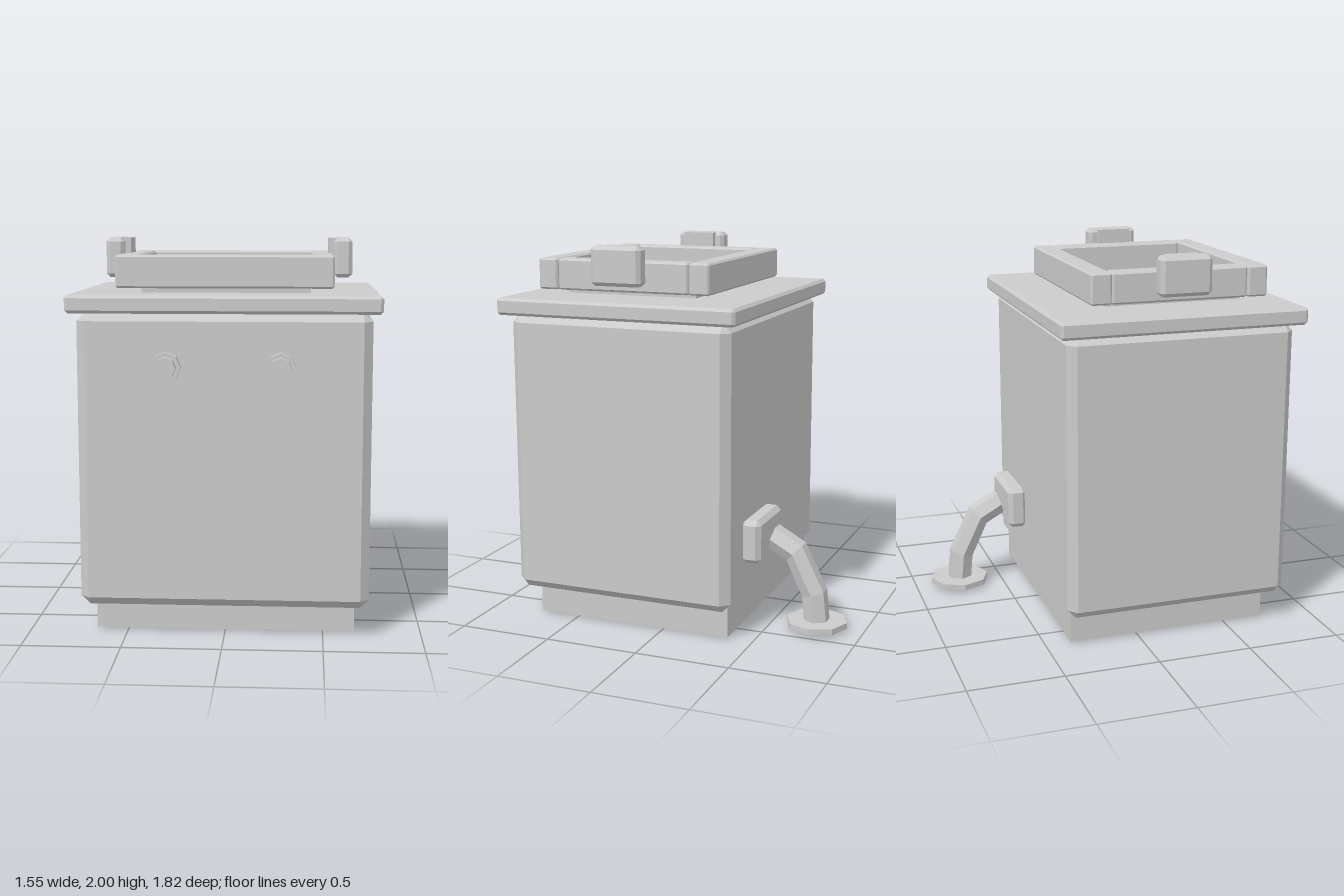
import * as THREE from 'three';
import { ConvexGeometry } from 'three/addons/geometries/ConvexGeometry.js';

const material = new THREE.MeshStandardMaterial({ color: 0xcccccc, flatShading: true });

// Box with chamfered edges, given by its min/max ranges
function chamferBox([x0, x1], [y0, y1], [z0, z1], c) {
  const a = (x1 - x0) / 2, b = (y1 - y0) / 2, d = (z1 - z0) / 2;
  const points = [];
  for (const sx of [-1, 1]) for (const sy of [-1, 1]) for (const sz of [-1, 1]) {
    points.push(
      new THREE.Vector3(sx * a, sy * (b - c), sz * (d - c)),
      new THREE.Vector3(sx * (a - c), sy * b, sz * (d - c)),
      new THREE.Vector3(sx * (a - c), sy * (b - c), sz * d));
  }
  return new ConvexGeometry(points).translate((x0 + x1) / 2, (y0 + y1) / 2, (z0 + z1) / 2);
}

function plainBox([x0, x1], [y0, y1], [z0, z1]) {
  return new THREE.BoxGeometry(x1 - x0, y1 - y0, z1 - z0)
    .translate((x0 + x1) / 2, (y0 + y1) / 2, (z0 + z1) / 2);
}

// Hexagonal bent pipe; each ring is [y, z, upY, upZ]
function hexPipe(x, radius, rings) {
  const sides = 6, positions = [], index = [];
  for (const [y, z, upY, upZ] of rings) {
    const len = Math.hypot(upY, upZ);
    for (let j = 0; j < sides; j++) {
      const t = j / sides * Math.PI * 2;
      const s = Math.sin(t) * radius / len;
      positions.push(x + Math.cos(t) * radius, y + s * upY, z + s * upZ);
    }
  }
  for (let i = 0; i < rings.length - 1; i++) {
    for (let j = 0; j < sides; j++) {
      const k = (j + 1) % sides;
      const a = i * sides + j, b = i * sides + k, c = a + sides, d = b + sides;
      index.push(a, c, b, b, c, d);
    }
  }
  const last = (rings.length - 1) * sides;
  for (let j = 1; j < sides - 1; j++) {
    index.push(0, j, j + 1, last, last + j + 1, last + j);
  }
  const geometry = new THREE.BufferGeometry();
  geometry.setAttribute('position', new THREE.Float32BufferAttribute(positions, 3));
  geometry.setIndex(index);
  const flat = geometry.toNonIndexed();
  flat.computeVertexNormals();
  return flat;
}

export function createModel() {
  const model = new THREE.Group();
  model.name = 'boiler';
  const add = (name, geometry) => {
    const mesh = new THREE.Mesh(geometry, material);
    mesh.name = name;
    model.add(mesh);
  };

  // Cabinet: plinth, body, lid
  add('plinth', plainBox([-0.66, 0.66], [0.01, 0.2], [-0.366, 0.714]));
  add('body', chamferBox([-0.73, 0.73], [0.155, 1.645], [-0.392, 0.825], 0.045));
  add('lid', chamferBox([-0.775, 0.775], [1.64, 1.73], [-0.441, 0.873], 0.015));

  // Hatch plate with a raised frame
  add('hatchPlate', plainBox([-0.425, 0.425], [1.72, 1.757], [-0.1, 0.628]));
  const frameY = [1.757, 1.92];
  add('frameFront', chamferBox([-0.54, 0.54], frameY, [0.637, 0.746], 0.01));
  add('frameBack', chamferBox([-0.54, 0.54], frameY, [-0.216, -0.104], 0.01));

  for (const [side, s] of [['left', 1], ['right', -1]]) {
    const span = (a, b) => s > 0 ? [a, b] : [-b, -a];
    add(side + 'FrameBar', chamferBox(span(0.432, 0.54), frameY, [-0.102, 0.632], 0.01));

    // Handle and its bracket
    add(side + 'Handle', chamferBox(span(0.542, 0.637), [1.795, 2], [0.122, 0.4], 0.02));
    add(side + 'HandleBracket', plainBox(span(0.513, 0.556), [1.82, 1.998], [0.172, 0.355]));

    // Front knob
    add(side + 'KnobBase', new THREE.CylinderGeometry(0.075, 0.075, 0.06, 8)
      .rotateX(Math.PI / 2).translate(s * 0.283, 1.378, 0.834));
    add(side + 'Knob', new THREE.CylinderGeometry(0.055, 0.055, 0.08, 8)
      .rotateX(Math.PI / 2).translate(s * 0.283, 1.378, 0.871));
  }

  // Rear outlet: mounting block, bent pipe, foot flange
  add('outletBlock', chamferBox([0.143, 0.515], [0.367, 0.6], [-0.488, -0.38], 0.025));
  add('outletPipe', hexPipe(0.328, 0.07, [
    [0.476, -0.503, 10, -3],
    [0.407, -0.628, 8, -7.5],
    [0.19, -0.733, 3, -9.5],
    [0.012, -0.75, 2, -10],
  ]));
  add('outletFlange', new THREE.CylinderGeometry(0.164, 0.164, 0.031, 8)
    .translate(0.328, 0.031, -0.748));

  return model;
}
